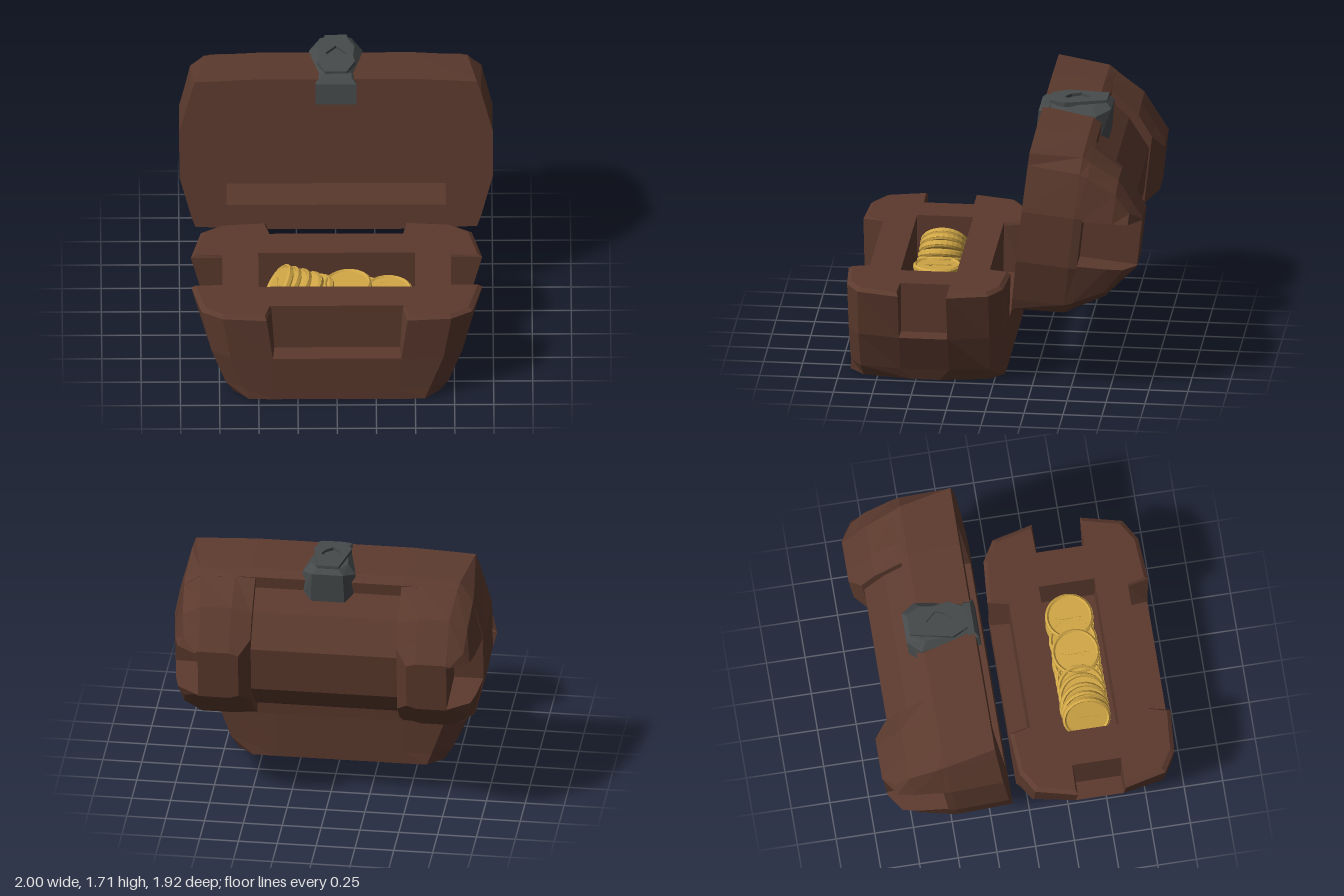
import * as THREE from 'three';
import { ConvexGeometry } from 'three/addons/geometries/ConvexGeometry.js';

const material = (color) => new THREE.MeshStandardMaterial({ color, flatShading: true });
const wood = material(0x5c3a2e);
const iron = material(0x464a4b);
const gold = material(0xd0a646);

function add(parent, name, geometry, mat) {
  const mesh = new THREE.Mesh(geometry, mat);
  mesh.name = name;
  parent.add(mesh);
  return mesh;
}

// Closed outlines in the (x, z) plane, mirrored from a quarter
const flip = (pts, sx, sz) => pts.map(([x, z]) => [x * sx, z * sz]);
const half = (q) => [...q, ...flip(q, 1, -1).reverse()];
const full = (q) => [...q, ...flip(q, -1, 1).reverse(), ...flip(q, -1, -1), ...flip(q, 1, -1).reverse()];
const rect = (x, z) => [[x, z], [-x, z], [-x, -z], [x, -z]];

// Solid through stacked outlines [height, outline]; a hollow is cut into its top or bottom
function loft(rings, { topHole, bottomHole, depth = 0 } = {}) {
  const pos = [];
  const tri = (...corners) => corners.forEach((c) => pos.push(...c));
  const at = (h, p) => [p[0], h, p[1]];
  const walls = (h0, r0, h1, r1, inward) => r0.forEach((_, k) => {
    const n = (k + 1) % r0.length;
    const a = at(h0, r0[k]), b = at(h0, r0[n]), c = at(h1, r1[n]), d = at(h1, r1[k]);
    if (inward) { tri(a, b, c); tri(a, c, d); } else { tri(a, c, b); tri(a, d, c); }
  });
  const cap = (h, outline, up, hole) => {
    const v = (pts) => pts.map((p) => new THREE.Vector2(...p));
    const holes = hole ? [v(hole).reverse()] : [];
    const contour = v(outline);
    const all = [contour, ...holes].flat();
    for (const f of THREE.ShapeUtils.triangulateShape(contour, holes)) {
      const [a, b, c] = f.map((i) => all[i]);
      const ccw = (b.x - a.x) * (c.y - a.y) - (b.y - a.y) * (c.x - a.x) > 0;
      const p = [a, b, c].map((q) => [q.x, h, q.y]);
      if (ccw === up) p.reverse();
      tri(...p);
    }
  };
  for (let i = 0; i + 1 < rings.length; i++) walls(...rings[i], ...rings[i + 1], false);
  const [h0, first] = rings[0], [h1, last] = rings[rings.length - 1];
  cap(h0, first, false, bottomHole);
  cap(h1, last, true, topHole);
  if (topHole) {
    walls(h1 - depth, topHole, h1, topHole, true);
    cap(h1 - depth, topHole, true);
  }
  if (bottomHole) {
    walls(h0, bottomHole, h0 + depth, bottomHole, true);
    cap(h0 + depth, bottomHole, false);
  }
  const g = new THREE.BufferGeometry();
  g.setAttribute('position', new THREE.Float32BufferAttribute(pos, 3));
  g.computeVertexNormals();
  return g;
}

function shapeOf(points) {
  return new THREE.Shape(points.map((p) => new THREE.Vector2(...p)));
}

// Coin with raised rims and a small dagger in relief
function makeCoin() {
  const coin = new THREE.Group();
  coin.name = 'coin';
  add(coin, 'coinDisc', new THREE.CylinderGeometry(0.155, 0.155, 0.024, 28), gold);
  for (const side of [-1, 1]) {
    const rim = add(coin, 'coinRim', new THREE.RingGeometry(0.125, 0.155, 28), gold);
    rim.geometry = new THREE.TorusGeometry(0.142, 0.013, 4, 28);
    rim.rotation.x = Math.PI / 2;
    rim.position.y = side * 0.01;
  }
  const dagger = shapeOf([[0, 0.09], [-0.014, 0.06], [-0.012, -0.03], [-0.04, -0.05], [-0.01, -0.045],
    [-0.01, -0.08], [0.01, -0.08], [0.01, -0.045], [0.04, -0.05], [0.012, -0.03], [0.014, 0.06]]);
  const relief = new THREE.ExtrudeGeometry(dagger, { depth: 0.006, bevelEnabled: false });
  relief.rotateX(-Math.PI / 2);
  add(coin, 'coinRelief', relief, gold).position.y = 0.012;
  return coin;
}

function makeBase() {
  const base = new THREE.Group();
  base.name = 'base';
  base.position.z = 0.44;
  // Lower body, tapering to the floor with clipped corners
  add(base, 'lowerBody', loft([
    [0, full([[0.71, 0.09], [0.66, 0.4], [0.56, 0.495], [0.41, 0.497]])],
    [0.08, full([[0.74, 0.155], [0.71, 0.415], [0.59, 0.49], [0.41, 0.5]])],
    [0.33, full([[0.85, 0.155], [0.8, 0.42], [0.68, 0.495], [0.41, 0.508]])],
  ]), wood);
  // Upper body with a notch in each side and the coin well
  add(base, 'upperBody', loft([
    [0.33, full([[0.73, 0.155], [0.85, 0.155], [0.8, 0.42], [0.68, 0.495], [0.41, 0.508], [0.4, 0.385]])],
    [0.64, full([[0.73, 0.155], [0.93, 0.155], [0.865, 0.42], [0.73, 0.5], [0.45, 0.52], [0.42, 0.385]])],
    [0.66, full([[0.73, 0.16], [0.9, 0.165], [0.84, 0.4], [0.72, 0.475], [0.46, 0.495], [0.43, 0.385]])],
  ], { topHole: rect(0.5, 0.18), depth: 0.3 }), wood);
  // Coins: x, height and lean
  const coins = [[0.33, 0.48, 0], [0.32, 0.44, 0.04], [0.31, 0.4, 0], [0.17, 0.47, 0], [0.07, 0.53, 0.06],
    [0.02, 0.49, 0.1], [-0.04, 0.46, 0.15], [-0.1, 0.47, 0.25], [-0.16, 0.48, 0.4], [-0.22, 0.49, 0.55],
    [-0.28, 0.5, 0.75], [-0.33, 0.51, 0.9], [-0.37, 0.52, 1.0], [0.05, 0.38, 0], [-0.25, 0.38, 0]];
  for (const [x, y, lean] of coins) {
    const coin = makeCoin();
    coin.position.set(x, y, -0.01);
    coin.rotation.z = lean;
    base.add(coin);
  }
  return base;
}

// The lid is built opening-down, then swung open
function makeLid() {
  const lid = new THREE.Group();
  lid.name = 'lid';
  lid.position.set(0, 1.11, -0.19);
  lid.rotation.x = THREE.MathUtils.degToRad(-96.2);
  add(lid, 'lidRim', loft([
    [0, full([[1, 0.17], [0.925, 0.46], [0.9, 0.535], [0.5, 0.555]])],
    [0.337, full([[1, 0.17], [0.93, 0.45], [0.84, 0.535], [0.5, 0.555]])],
    [0.39, full([[0.99, 0.17], [0.93, 0.43], [0.83, 0.505], [0.5, 0.52]])],
  ], { bottomHole: rect(0.7, 0.375), depth: 0.27 }), wood);
  // Raised end bands, each with a grip notch
  const bandGeometry = loft([
    [0.385, half([[0.8, 0.155], [0.99, 0.155], [0.93, 0.43], [0.83, 0.505], [0.6, 0.52], [0.47, 0.515]])],
    [0.58, half([[0.8, 0.155], [0.965, 0.155], [0.915, 0.33], [0.8, 0.4], [0.6, 0.4], [0.47, 0.36]])],
    [0.68, half([[0.8, 0.155], [0.94, 0.155], [0.9, 0.22], [0.8, 0.27], [0.6, 0.27], [0.47, 0.23]])],
    [0.76, half([[0.8, 0.155], [0.82, 0.155], [0.815, 0.16], [0.8, 0.17], [0.6, 0.17], [0.54, 0.15]])],
  ]);
  for (const side of [0, 1]) add(lid, 'lidEndBand', bandGeometry, wood).rotation.y = side * Math.PI;
  // Sunken barrel between the bands
  add(lid, 'lidBarrel', loft([
    [0.38, rect(0.5, 0.45)], [0.52, rect(0.5, 0.34)], [0.67, rect(0.5, 0.15)],
  ]), wood);
  return lid;
}

function makeLatch() {
  const latch = new THREE.Group();
  latch.name = 'latch';
  const mirrored = (pts) => pts.flatMap(([x, y, z]) => [new THREE.Vector3(x, y, z), new THREE.Vector3(-x, y, z)]);
  add(latch, 'latchBody', new ConvexGeometry(mirrored([
    [0.11, 1.64, -0.26], [0.08, 1.675, -0.29], [0.12, 1.685, -0.57], [0.07, 1.69, -0.66],
    [0.17, 1.63, -0.6], [0.1, 1.66, -0.69], [0.19, 1.41, -0.6], [0.11, 1.41, -0.67], [0.12, 1.5, -0.3],
  ])), iron);
  // Top plate with a lozenge opening
  const plate = shapeOf([[-0.07, 0.29], [0.07, 0.29], [0.12, 0.56], [0.07, 0.66], [-0.07, 0.66], [-0.12, 0.56]]);
  plate.holes.push(new THREE.Path([[0, 0.4], [-0.065, 0.47], [-0.045, 0.53], [0, 0.57], [0.045, 0.53], [0.065, 0.47]]
    .map((p) => new THREE.Vector2(...p))));
  const plateGeometry = new THREE.ExtrudeGeometry(plate, { depth: 0.03, bevelEnabled: false });
  plateGeometry.scale(1, -1, -1).rotateX(Math.PI / 2).rotateX(Math.PI);
  plateGeometry.computeBoundingBox();
  const box = plateGeometry.boundingBox;
  plateGeometry.translate(0, -box.max.y, -box.min.z);
  const top = add(latch, 'latchPlate', plateGeometry, iron);
  top.position.set(0, 1.71, -0.66);
  top.rotation.x = 0.04;
  // Hasp hanging over the lid edge
  add(latch, 'latchHasp', new ConvexGeometry(mirrored([
    [0.13, 1.49, -0.21], [0.13, 1.64, -0.225], [0.1, 1.67, -0.25],
    [0.13, 1.49, -0.26], [0.13, 1.64, -0.28], [0.1, 1.675, -0.3],
  ])), iron);
  return latch;
}

export function createModel() {
  const chest = new THREE.Group();
  chest.name = 'treasureChest';
  chest.add(makeBase(), makeLid(), makeLatch());
  return chest;
}
